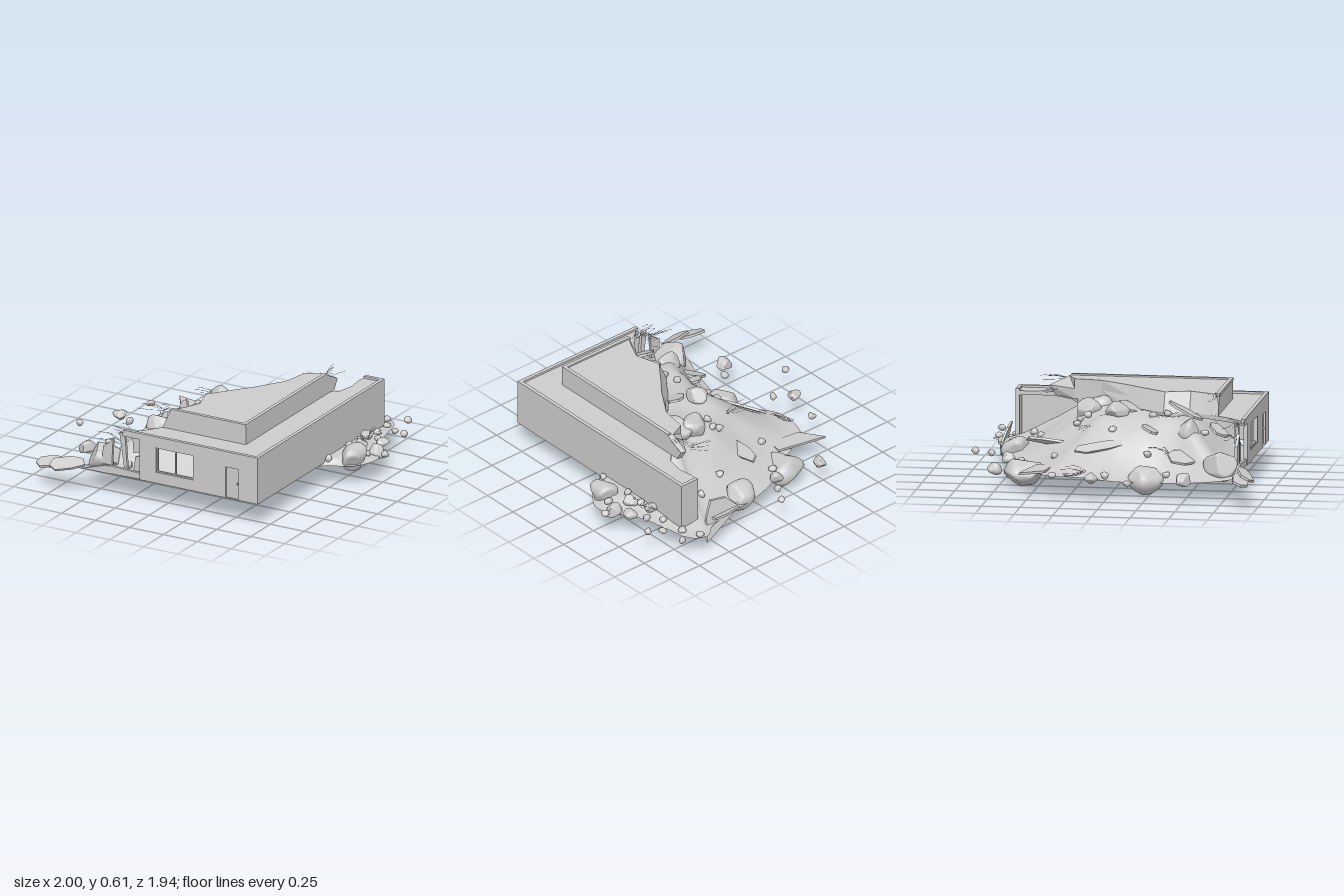
import * as THREE from 'three';
import { mergeVertices, mergeGeometries } from 'three/addons/utils/BufferGeometryUtils.js';

const grey = new THREE.MeshStandardMaterial({ color: 0xcccccc, side: THREE.DoubleSide });
const flat = new THREE.MeshStandardMaterial({ color: 0xcccccc, side: THREE.DoubleSide, flatShading: true });

// outline of the rubble mound: x, z, y
const rim = [[-0.29, 0.82, 0.14], [-0.62, 0.81, 0.14], [-0.57, 0.55, 0.1], [-0.53, 0.3, 0.085], [-0.6, 0.05, 0.1],
  [-0.66, -0.15, 0.13], [-0.61, -0.4, 0.13], [-0.4, -0.53, 0.13], [-0.25, -0.62, 0.13], [-0.1, -0.72, 0.13],
  [0.1, -0.79, 0.13], [0.3, -0.82, 0.13], [0.52, -0.86, 0.13], [0.62, -0.93, 0.13], [0.72, -0.88, 0.13],
  [0.78, -0.7, 0.14], [0.82, -0.52, 0.14], [0.96, -0.25, 0.14], [0.88, -0.1, 0.13], [0.71, 0.03, 0.14],
  [0.6, 0.25, 0.15], [0.52, 0.5, 0.15], [0.46, 0.74, 0.15], [0.38, 0.81, 0.15], [0.15, 0.81, 0.14]];
const CX = 0.22, CZ = 0.05, RINGS = 28, SEGS = 140;

function seeded(seed) {
  return () => {
    seed = (seed * 16807) % 2147483647;
    return seed / 2147483647;
  };
}

function add(group, name, geometry, material = grey) {
  const mesh = new THREE.Mesh(geometry, material);
  mesh.name = name;
  group.add(mesh);
  return mesh;
}

function box(group, name, x0, x1, y0, y1, z0, z1) {
  return add(group, name, new THREE.BoxGeometry(x1 - x0, y1 - y0, z1 - z0)
    .translate((x0 + x1) / 2, (y0 + y1) / 2, (z0 + z1) / 2));
}

const shapeOf = (pts) => new THREE.Shape(pts.map(([x, y]) => new THREE.Vector2(x, y)));

// horizontal plate from an x,z outline between two heights
function plate(pts, y0, y1, steps = 1) {
  return new THREE.ExtrudeGeometry(shapeOf(pts.map(([x, z]) => [x, -z])), { depth: y1 - y0, steps, bevelEnabled: false })
    .rotateX(-Math.PI / 2).translate(0, y0, 0);
}

// hollow sheet: rises gently at the back, faster toward the front, and stays low outside the side wall
function moundGeometry() {
  const curve = new THREE.CatmullRomCurve3(rim.map(([x, z, y]) => new THREE.Vector3(x, y, z)), true, 'centripetal');
  const edge = curve.getPoints(SEGS);
  const pos = [], index = [];
  for (let i = 0; i <= RINGS; i++) {
    const r = i / RINGS;
    for (let j = 0; j < SEGS; j++) {
      const x = CX + (edge[j].x - CX) * r, z = CZ + (edge[j].z - CZ) * r;
      const width = 0.67 - 0.11 * THREE.MathUtils.clamp(z * 4, -1, 1);
      const f = THREE.MathUtils.smoothstep(1 - r, 0, width);
      const bump = 0.012 * Math.sin(x * 17 + 1) * Math.sin(z * 15) * f;
      const y = Math.min(edge[j].y + (0.435 - edge[j].y) * f + bump, 0.18 + Math.max(0, 0.67 - x) * 3);
      pos.push(x, y, z);
      if (i < RINGS) {
        const a = i * SEGS + j, b = i * SEGS + (j + 1) % SEGS;
        index.push(a, b, a + SEGS, b, b + SEGS, a + SEGS);
      }
    }
  }
  const g = new THREE.BufferGeometry();
  g.setAttribute('position', new THREE.Float32BufferAttribute(pos, 3));
  g.setIndex(index);
  g.computeVertexNormals();
  return g;
}

// lumpy rock, worn flat on a few random sides
function rockGeometry(size, detail, rand) {
  const raw = new THREE.IcosahedronGeometry(1, detail);
  raw.deleteAttribute('normal');
  raw.deleteAttribute('uv');
  const g = mergeVertices(raw, 1e-3), p = g.attributes.position, v = new THREE.Vector3();
  const [a, b, c] = [rand() * 6, rand() * 6, rand() * 6];
  const cuts = Array.from({ length: 6 }, () => new THREE.Vector3(rand() - 0.5, rand() - 0.5, rand() - 0.5).normalize());
  for (let i = 0; i < p.count; i++) {
    v.fromBufferAttribute(p, i);
    v.multiplyScalar(1.1 + 0.11 * (Math.sin(3 * v.x + a) + Math.sin(3 * v.y + b) + Math.sin(4 * v.z + c)));
    for (const n of cuts) v.addScaledVector(n, -Math.max(0, v.dot(n) - 0.8));
    p.setXYZ(i, v.x * size, v.y * size * 0.85, v.z * size);
  }
  g.computeVertexNormals();
  return g;
}

export function createModel() {
  const model = new THREE.Group();
  const rand = seeded(71);
  const mound = add(model, 'rubbleMound', moundGeometry());

  // mound height, taken from its nearest vertex
  const mp = mound.geometry.attributes.position;
  const ground = (x, z) => {
    let best = 9, y = 0.15;
    for (let i = 0; i < mp.count; i++) {
      const d = Math.hypot(mp.getX(i) - x, mp.getZ(i) - z);
      if (d < best) { best = d; y = mp.getY(i); }
    }
    return best < 0.06 ? y : 0.15;
  };

  // front wall with door and window openings
  const wall = shapeOf([[-0.165, 0.15], [0.709, 0.15], [0.709, 0.44], [-0.165, 0.44]]);
  const opening = (x0, x1, y0, y1) => wall.holes.push(new THREE.Path(
    [[x0, y0], [x0, y1], [x1, y1], [x1, y0]].map(([x, y]) => new THREE.Vector2(x, y))));
  opening(-0.04, 0.235, 0.225, 0.395);
  opening(0.47, 0.567, 0.152, 0.362);
  add(model, 'frontWall', new THREE.ExtrudeGeometry(wall, { depth: 0.025, bevelEnabled: false }).translate(0, 0, 0.815));
  box(model, 'sideWall', 0.684, 0.709, 0.15, 0.44, -0.775, 0.84);
  box(model, 'backWall', 0.57, 0.709, 0.15, 0.44, -0.775, -0.75);
  box(model, 'door', 0.472, 0.565, 0.152, 0.36, 0.817, 0.827);
  box(model, 'doorHandle', 0.55, 0.555, 0.25, 0.262, 0.825, 0.837);
  for (const x of [-0.04, 0.094, 0.227]) box(model, 'windowUpright', x, x + 0.008, 0.225, 0.395, 0.82, 0.833);
  for (const y of [0.225, 0.387]) box(model, 'windowRail', -0.04, 0.235, y, y + 0.008, 0.82, 0.833);

  // broken main roof with a raised rim
  add(model, 'mainRoof', plate([[0.709, 0.84], [-0.29, 0.84], [-0.21, 0.77], [-0.15, 0.7], [-0.1, 0.62], [-0.01, 0.47],
    [-0.03, 0.29], [0.09, 0.12], [0.19, 0.03], [0.3, -0.15], [0.36, -0.34], [0.47, -0.4], [0.55, -0.48],
    [0.575, -0.6], [0.56, -0.7], [0.57, -0.775], [0.709, -0.775]], 0.425, 0.453), flat);
  box(model, 'frontRoofRim', -0.28, 0.709, 0.44, 0.467, 0.815, 0.84);
  box(model, 'sideRoofRim', 0.684, 0.709, 0.44, 0.467, -0.775, 0.84);
  box(model, 'backRoofRim', 0.57, 0.709, 0.44, 0.467, -0.775, -0.75);

  // upper storey: its torn edge spreads toward the bottom
  const upper = plate([[0.505, 0.64], [-0.05, 0.64], [0.0, 0.55], [0.05, 0.44], [0.0, 0.28], [0.12, 0.12], [0.2, 0.02],
    [0.33, -0.18], [0.36, -0.36], [0.47, -0.41], [0.505, -0.4]], 0.45, 0.58, 2);
  const up = upper.attributes.position;
  for (let i = 0; i < up.count; i++) {
    const x = up.getX(i), y = up.getY(i), z = up.getZ(i);
    if (y > 0.57) continue;
    if (x < 0.3) up.setX(i, x - (y > 0.5 ? 0.03 : 0.06));
    if (z < -0.38) up.setZ(i, z - (y > 0.5 ? 0.13 : 0.09));
  }
  add(model, 'upperStorey', upper, flat);
  box(model, 'upperFrontRim', -0.05, 0.505, 0.57, 0.59, 0.618, 0.643);
  box(model, 'upperSideRim', 0.48, 0.505, 0.57, 0.59, -0.4, 0.643);

  // torn remains of the front wall
  const torn = [[[-0.6, 0.14], [-0.165, 0.15], [-0.165, 0.19], [-0.38, 0.2], [-0.44, 0.19]],
    [[-0.45, 0.2], [-0.38, 0.2], [-0.37, 0.39], [-0.39, 0.36], [-0.445, 0.32]],
    [[-0.29, 0.16], [-0.27, 0.16], [-0.29, 0.43], [-0.33, 0.43]],
    [[-0.235, 0.17], [-0.165, 0.17], [-0.165, 0.3], [-0.22, 0.28]],
    [[-0.24, 0.3], [-0.165, 0.32], [-0.165, 0.44], [-0.25, 0.44]]];
  torn.forEach((pts, i) => add(model, 'tornWallPiece', new THREE.ExtrudeGeometry(shapeOf(pts),
    { depth: 0.02, bevelEnabled: false }).translate(0, 0, 0.812 - i * 0.012), flat));

  // boulders: x, z, size, and y where not resting on the mound
  const boulders = [[-0.31, -0.58, 0.11, 0.09], [0.17, -0.71, 0.1, 0.13], [-0.48, 0.23, 0.1, 0.11], [-0.48, 0.72, 0.105, 0.2],
    [-0.23, 0.47, 0.075, 0.38], [0.15, -0.24, 0.085, 0.42], [0.28, -0.2, 0.085, 0.42], [0.83, -0.16, 0.085, 0.16], [-0.06, -0.02, 0.065],
    [-0.74, 0.51, 0.05, 0.15], [-0.83, -0.07, 0.04, 0.16], [-0.47, -0.75, 0.04, 0.14], [-0.14, -0.71, 0.04, 0.15],
    [0.78, -0.35, 0.04, 0.18], [0.87, -0.46, 0.04, 0.17], [0.73, -0.5, 0.035, 0.18], [0.9, -0.34, 0.05, 0.16]];
  for (const [x, z, size, y] of boulders)
    add(model, 'boulder', rockGeometry(size, 6, rand)).position.set(x, y ?? ground(x, z) + size * 0.3, z);

  // pebbles
  const pebbles = [[0.02, -0.95], [-0.05, -0.83], [0.66, -0.9], [0.81, -0.9], [0.82, -0.72], [0.91, -0.68], [-0.76, -0.33],
    [-0.72, 0], [-0.98, 0.19], [-0.64, 0.39], [-0.29, -0.39], [0.2, -0.55], [0.42, -0.63], [-0.02, -0.29], [0.02, -0.27],
    [0.02, -0.22], [-0.23, -0.02], [-0.1, 0.22], [-0.35, 0.22], [-0.07, 0.31], [-0.19, -0.62], [0.72, -0.79], [0.74, -0.63],
    [0.74, -0.41], [0.97, -0.33], [0.77, -0.38], [0.73, -0.03], [-0.15, 0.56], [0.8, -0.54], [0.88, -0.25], [0.74, -0.28]];
  for (const [x, z] of pebbles)
    add(model, 'pebble', rockGeometry(0.025, 1, rand)).position.set(x, ground(x, z) + 0.012, z);

  // broken slabs: x, y, z, length, width, tilt x, turn y, tilt z
  const slabs = [[-0.78, 0.17, 0.89, 0.22, 0.11, 0.35, 0.1, 0.15], [-0.66, 0.185, 0.9, 0.24, 0.11, 0.5, 0.35, 0.15],
    [-0.07, 0, -0.45, 0.32, 0.09, 0.5, 1.5, 0.1], [-0.37, 0, -0.08, 0.36, 0.07, 0.7, -1, 0.1],
    [-0.42, 0, 0.45, 0.16, 0.17, 0.1, 0.3, 0.4], [-0.25, 0, 0.22, 0.13, 0.08, 0.2, 0.9, 0.3],
    [0.07, 0, 0.04, 0.17, 0.12, 0.2, 0.8, 0.3], [-0.33, 0, 0.75, 0.12, 0.1, 0.2, 0.3, 0.3],
    [-0.03, 0.47, 0.42, 0.26, 0.16, 0.2, 1.2, 0.4], [-0.2, 0.38, 0.66, 0.16, 0.12, 0.3, 0.7, 0.4],
    [0.38, 0.16, -0.82, 0.25, 0.08, 0.1, 0.1, 0]];
  for (const [x, y, z, l, w, rx, ry, rz] of slabs) {
    const g = plate([[-0.5, 0.1], [-0.3, 0.5], [0.15, 0.42], [0.5, 0.2], [0.42, -0.3], [0.1, -0.5], [-0.4, -0.4]], -0.5, 0.5);
    const m = add(model, 'brokenSlab', g.scale(l, 0.016, w), flat);
    m.position.set(x, y || ground(x, z) + 0.025, z);
    m.rotation.set(rx, ry, rz, 'YXZ');
  }
  add(model, 'cornerShard', plate([[-0.68, -0.56], [-0.35, -0.49], [-0.36, -0.38], [-0.58, -0.41]], 0.14, 0.155), flat);

  // pointed shard leaning against the back
  const lean = add(model, 'leaningShard', new THREE.ExtrudeGeometry(
    shapeOf([[0.27, 0.16], [0.575, 0.03], [0.54, 0.18], [0.48, 0.27], [0.36, 0.25]]), { depth: 0.016, bevelEnabled: false }), flat);
  const lp = lean.geometry.attributes.position;
  for (let i = 0; i < lp.count; i++) lp.setZ(i, lp.getZ(i) - 0.79 - (0.28 - lp.getY(i)) * 0.33);

  // bent steel rods: root x, y, z, main direction x, z
  const rods = [[-0.17, 0, -0.2, -1, -0.2], [0.4, 0.5, -0.5, -0.8, -0.3], [0.49, 0.56, -0.42, 0.1, -1], [-0.58, 0, -0.15, -0.2, -1],
    [-0.08, 0.57, 0.62, -1, 0], [-0.26, 0.44, 0.78, -1, -0.1], [-0.33, 0.36, 0.78, -1, -0.1], [0.78, 0.19, -0.45, 0, -0.6],
    [-0.36, 0, 0.36, 0.6, -0.6]];
  for (const [x, y, z, dx, dz] of rods) {
    const y0 = y || ground(x, z) + 0.02, parts = [];
    for (let i = 0; i < 6; i++) {
      const l = 0.08 + rand() * 0.08, sx = (rand() - 0.5) * 0.08, sz = (rand() - 0.5) * 0.08, lift = (rand() - 0.35) * 0.06;
      const a = new THREE.Vector3(x + sx * 0.5, y0, z + sz * 0.5);
      const b = new THREE.Vector3(x + dx * l * 0.5 + sx, y0 + lift, z + dz * l * 0.5 + sz);
      const c = new THREE.Vector3(x + dx * l + sx * 1.6, y0 + lift * 0.8, z + dz * l + sz * 1.6);
      parts.push(new THREE.TubeGeometry(new THREE.CatmullRomCurve3([a, b, c]), 5, 0.0012, 4));
    }
    add(model, 'steelRods', mergeGeometries(parts));
  }
  return model;
}
